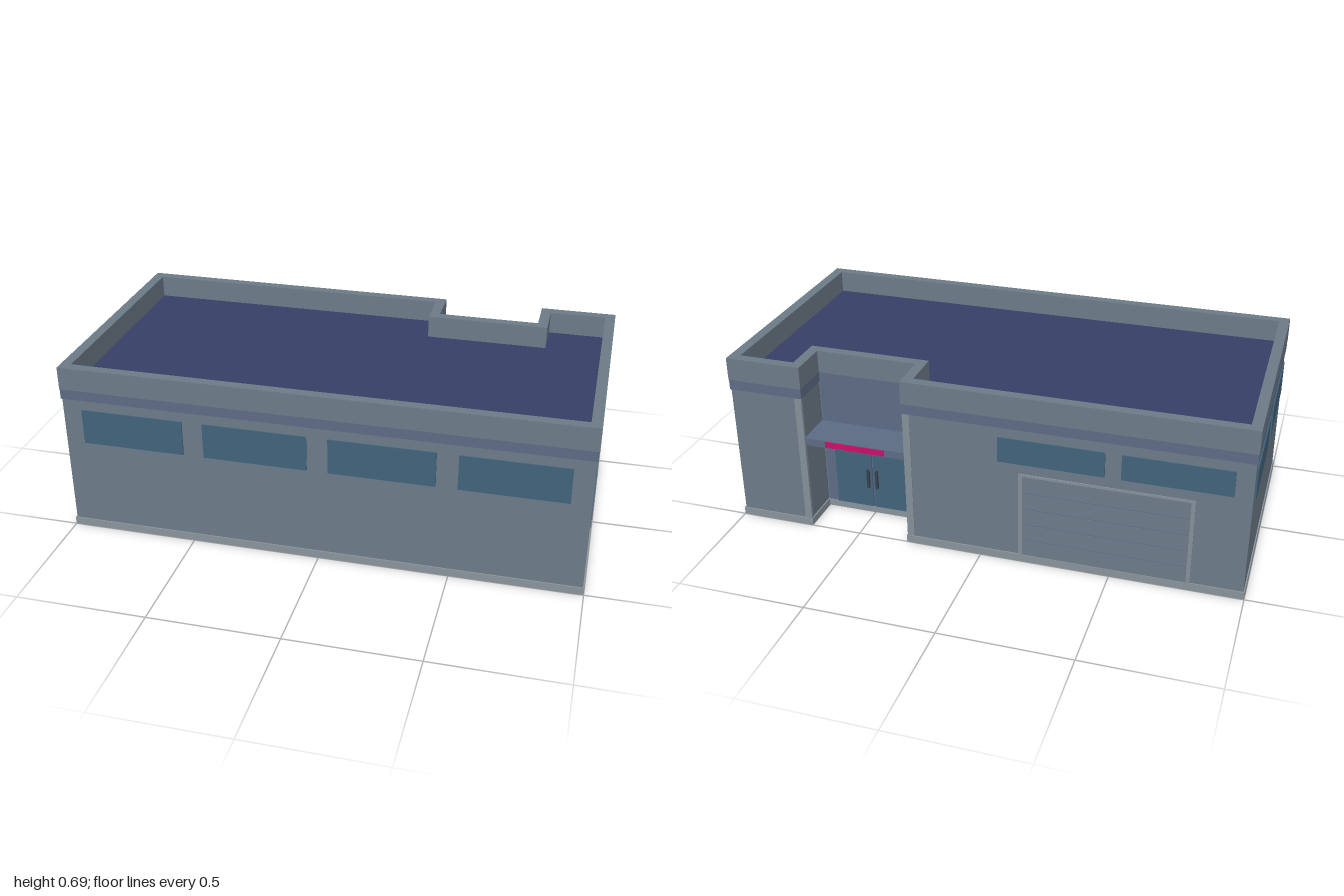
import * as THREE from 'three';

const mat = (color) => new THREE.MeshStandardMaterial({ color, flatShading: true });
const MATS = {
  wall: mat(0x6c7b88), base: mat(0x8a949c), band: mat(0x5c6b84), roof: mat(0x363f66),
  glass: mat(0x42637c), accent: mat(0xc8106a), handle: mat(0x3a4450), frame: mat(0x84909a),
};

// Corners of the plan with its entrance notch, shrunk inwards by d (shape y = -z)
function plan(d) {
  return [
    [-1 + d, -0.5 + d], [1 - d, -0.5 + d], [1 - d, 0.5 - d], [0.7 + d, 0.5 - d],
    [0.7 + d, 0.34 - d], [0.3 - d, 0.34 - d], [0.3 - d, 0.5 - d], [-1 + d, 0.5 - d],
  ].map(([x, y]) => new THREE.Vector2(x, y));
}

export function createModel() {
  const model = new THREE.Group();
  model.name = 'building';

  function add(name, geometry, material, parent = model) {
    const mesh = new THREE.Mesh(geometry, MATS[material]);
    mesh.name = name;
    parent.add(mesh);
    return mesh;
  }

  // Upright slab following the plan, optionally hollow
  function slab(name, inset, y0, y1, material, holeInset) {
    const shape = new THREE.Shape(plan(inset));
    if (holeInset) shape.holes.push(new THREE.Path(plan(holeInset)));
    const g = new THREE.ExtrudeGeometry(shape, { depth: y1 - y0, bevelEnabled: false });
    g.rotateX(-Math.PI / 2).translate(0, y0, 0);
    return add(name, g, material);
  }

  // Box given by its limits on each axis
  function box(name, [x0, x1], [y0, y1], [z0, z1], material, parent) {
    const g = new THREE.BoxGeometry(x1 - x0, y1 - y0, z1 - z0);
    g.translate((x0 + x1) / 2, (y0 + y1) / 2, (z0 + z1) / 2);
    return add(name, g, material, parent);
  }

  function group(name) {
    const g = new THREE.Group();
    g.name = name;
    model.add(g);
    return g;
  }

  // Main shell
  slab('basePlinth', 0, 0, 0.03, 'base');
  slab('walls', 0.005, 0.03, 0.56, 'wall');
  slab('fasciaBand', 0.001, 0.56, 0.6, 'band');
  slab('parapet', 0, 0.6, 0.69, 'wall', 0.04);
  slab('roofDeck', 0.035, 0.595, 0.602, 'roof');

  // Windows: four in front, two at the right side, two at the back
  const windows = group('windows');
  for (const x of [-0.92, -0.44, 0.04, 0.52])
    box('frontWindow', [x, x + 0.4], [0.38, 0.52], [0.48, 0.5], 'glass', windows);
  for (const z of [-0.45, 0.05])
    box('sideWindow', [-1, -0.98], [0.38, 0.52], [z, z + 0.4], 'glass', windows);
  for (const x of [-0.93, -0.47])
    box('backWindow', [x, x + 0.4], [0.42, 0.52], [-0.5, -0.48], 'glass', windows);

  // Louvred vent on the left side
  const vent = group('sideVent');
  box('ventPanel', [0.98, 0.9985], [0.16, 0.41], [-0.29, 0.29], 'band', vent);
  for (let i = 0; i < 4; i++) {
    const y = 0.196 + i * 0.0605;
    box('ventSlat', [0.985, 1], [y - 0.014, y + 0.014], [-0.275, 0.275], 'wall', vent);
  }

  // Sectional garage door at the back
  const garage = group('garageDoor');
  box('doorBacking', [-0.8, -0.15], [0.03, 0.38], [-0.496, -0.48], 'band', garage);
  for (let i = 0; i < 5; i++) {
    const y = 0.03 + i * 0.068;
    box('doorPanel', [-0.785, -0.165], [y, y + 0.064], [-0.498, -0.485], 'wall', garage);
  }
  for (const x of [-0.8, -0.165])
    box('doorJamb', [x, x + 0.015], [0.03, 0.38], [-0.5, -0.485], 'frame', garage);
  box('doorLintel', [-0.8, -0.15], [0.37, 0.38], [-0.5, -0.485], 'frame', garage);

  // Recessed entrance with panel, double door and canopy
  const entrance = group('entrance');
  box('entrancePanel', [0.3, 0.7], [0.03, 0.56], [-0.339, -0.33], 'band', entrance);
  for (const s of [-1, 1]) {
    const leaf = [0.5 + s * 0.08 - 0.077, 0.5 + s * 0.08 + 0.077];
    box('doorLeaf', leaf, [0.03, 0.33], [-0.344, -0.33], 'glass', entrance);
    const x = 0.5 + s * 0.018;
    box('doorHandle', [x - 0.005, x + 0.005], [0.12, 0.2], [-0.355, -0.343], 'handle', entrance);
    const c = 0.5 + s * 0.217;
    box('cornerTrim', [c - 0.014, c + 0.014], [0.03, 0.56], [-0.498, -0.485], 'frame', entrance);
  }
  box('canopy', [0.295, 0.705], [0.36, 0.39], [-0.493, -0.335], 'band', entrance);
  box('canopyStrip', [0.38, 0.62], [0.364, 0.388], [-0.497, -0.485], 'accent', entrance);

  return model;
}
